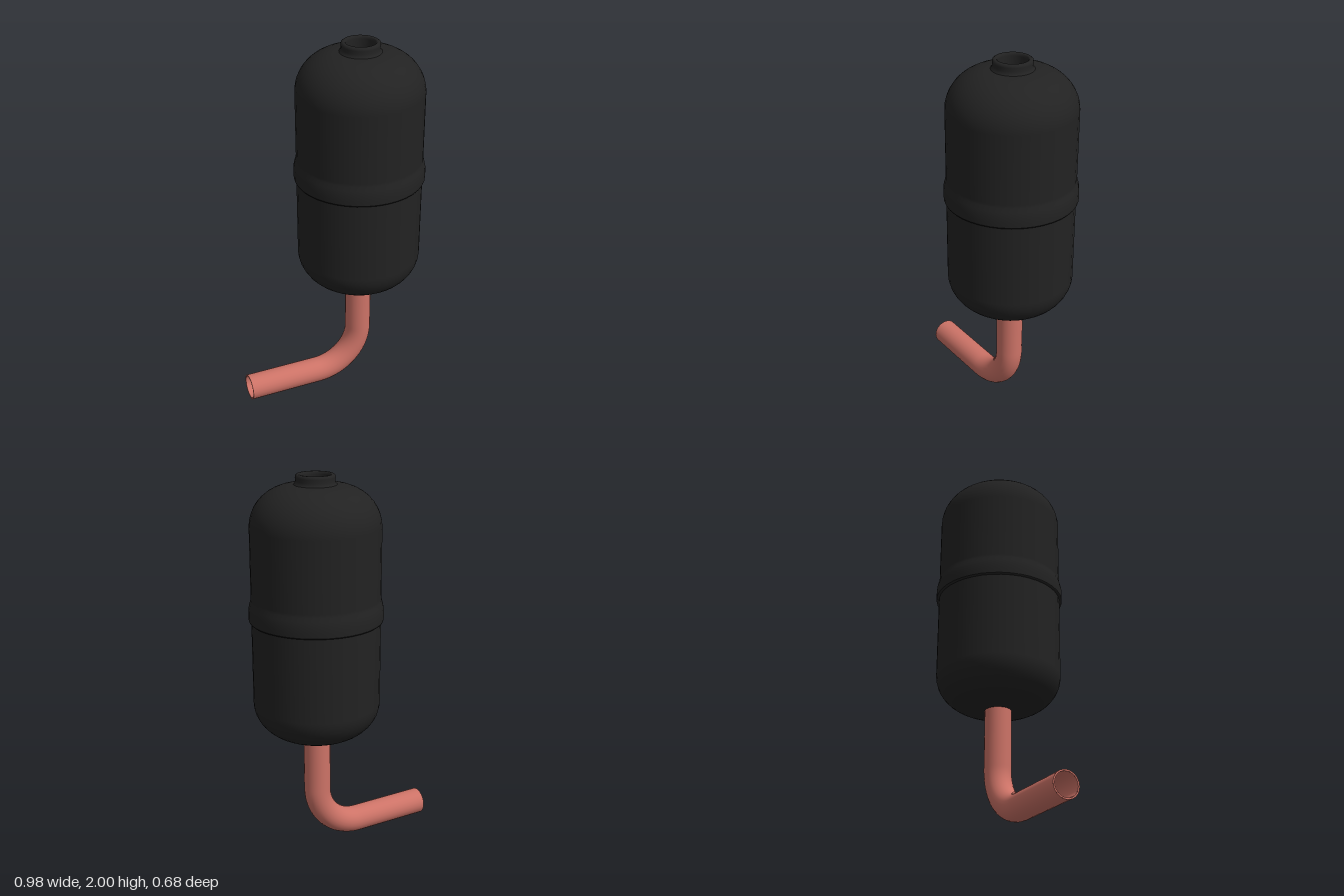
import * as THREE from 'three';

const black = new THREE.MeshStandardMaterial({ color: 0x222222, side: THREE.DoubleSide });
const copper = new THREE.MeshStandardMaterial({ color: 0xcd7367, side: THREE.DoubleSide });

const AXIS_X = 0.15, BODY_R = 0.327, PIPE_R = 0.07, PIPE_INNER = 0.062;

// Points along a quarter ellipse, from angle a to angle b
function ellipseArc(cx, cy, rx, ry, a, b, n = 10) {
  return Array.from({ length: n + 1 }, (_, i) => {
    const t = a + (b - a) * i / n;
    return [cx + rx * Math.cos(t), cy + ry * Math.sin(t)];
  });
}

function lathe(name, points) {
  const geometry = new THREE.LatheGeometry(points.map(p => new THREE.Vector2(...p)), 40);
  const mesh = new THREE.Mesh(geometry, black);
  mesh.name = name;
  mesh.position.x = AXIS_X;
  return mesh;
}

// Hollow bent pipe: outer wall, inner wall and a rim at each end
function createPipe() {
  const pipe = new THREE.Group();
  pipe.name = 'pipe';
  const out = new THREE.Vector3(-0.62, 0, -0.21).normalize();
  const bend = 0.25, k = bend * 0.4477;
  const corner = new THREE.Vector3(AXIS_X, 0.075, 0);
  const up = h => corner.clone().setY(corner.y + h);
  const along = d => corner.clone().addScaledVector(out, d);
  const path = new THREE.CurvePath();
  path.add(new THREE.LineCurve3(up(0.6), up(bend)));
  path.add(new THREE.CubicBezierCurve3(up(bend), up(k), along(k), along(bend)));
  path.add(new THREE.LineCurve3(along(bend), along(0.655)));

  for (const [name, r] of [['pipeOuterWall', PIPE_R], ['pipeInnerWall', PIPE_INNER]]) {
    const wall = new THREE.Mesh(new THREE.TubeGeometry(path, 64, r, 24), copper);
    wall.name = name;
    pipe.add(wall);
  }
  for (const [name, t] of [['inletRim', 0], ['outletRim', 1]]) {
    const rim = new THREE.Mesh(new THREE.RingGeometry(PIPE_INNER, PIPE_R, 24), copper);
    rim.name = name;
    rim.position.copy(path.getPointAt(t));
    const normal = path.getTangentAt(t).multiplyScalar(t ? 1 : -1);
    rim.quaternion.setFromUnitVectors(new THREE.Vector3(0, 0, 1), normal);
    pipe.add(rim);
  }
  return pipe;
}

export function createModel() {
  const model = new THREE.Group();
  model.name = 'canister';

  // Lower shell: rounded base around the pipe, straight side
  model.add(lathe('lowerShell', [
    [PIPE_R, 0.64],
    ...ellipseArc(0.107, 0.83, 0.22, 0.19, -Math.PI / 2, 0),
    [BODY_R, 1.3],
  ]));

  // Upper shell: flared seam, straight side, domed shoulder
  model.add(lathe('upperShell', [
    [0.34, 1.275], [0.341, 1.3], [0.34, 1.33], [0.335, 1.355], [0.329, 1.375], [BODY_R, 1.39],
    ...ellipseArc(0.107, 1.745, 0.22, 0.205, 0, Math.PI / 2),
    [0.073, 1.953],
  ]));

  // Flat underside of the seam
  model.add(lathe('seamLip', [[BODY_R - 0.002, 1.27], [0.338, 1.27], [0.34, 1.275]]));

  // Short open neck with a rounded rim
  model.add(lathe('neck', [
    [0.112, 1.945], [0.102, 1.955], [0.097, 1.968], [0.099, 1.985], [0.097, 1.995], [0.09, 2],
    [0.08, 2], [0.075, 1.995], [0.073, 1.985], [0.073, 1.93],
  ]));

  model.add(createPipe());
  return model;
}
